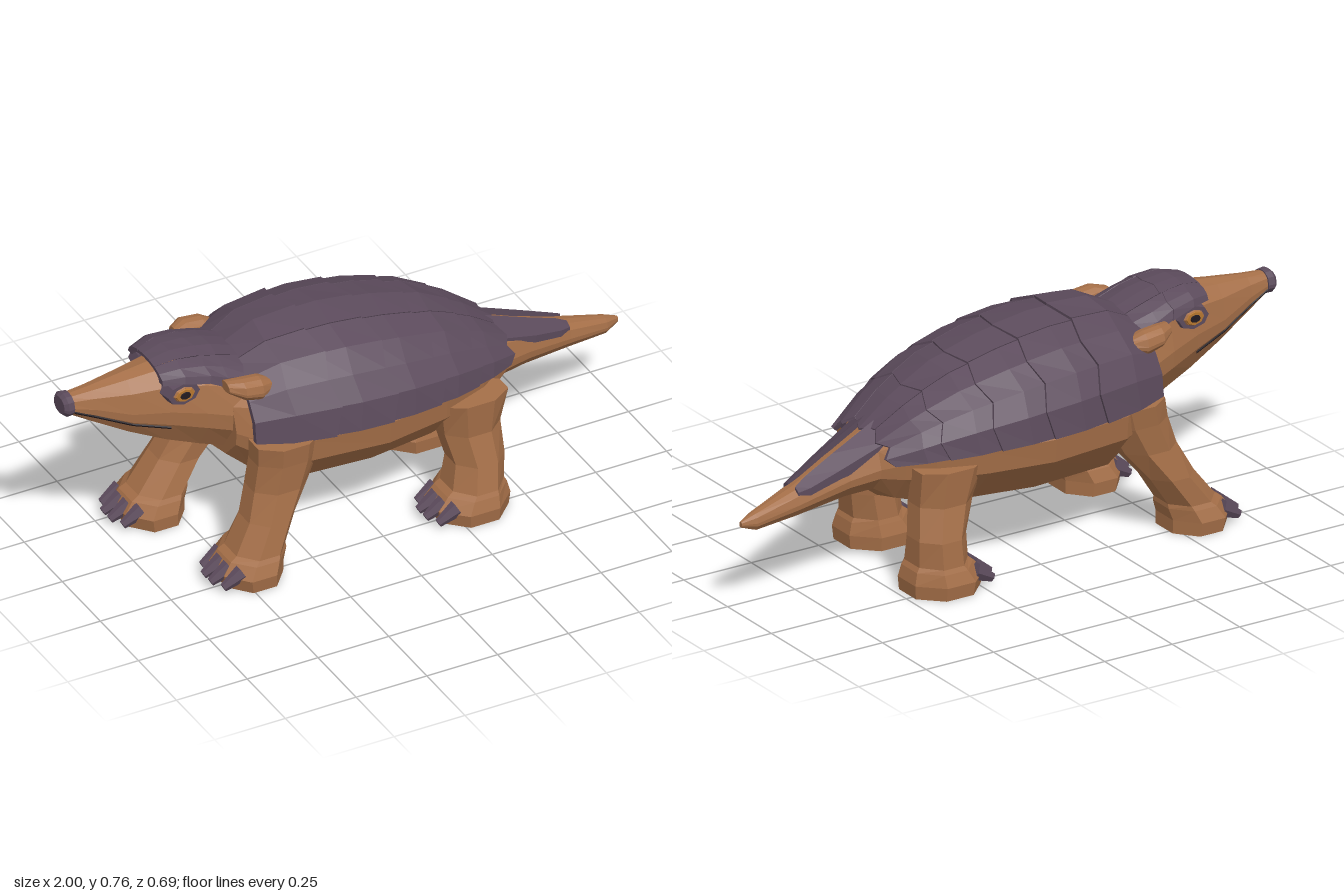
import * as THREE from 'three';

const mat = (name, color) => Object.assign(new THREE.MeshStandardMaterial({ color, flatShading: true }), { name });
const ZC = -0.02; // body centre line

// Flat-faced skin over equal rings (even point count), both ends closed
function loft(rings) {
  const n = rings[0].length, pos = [];
  const tri = (a, b, c) => pos.push(...a, ...b, ...c);
  for (let i = 0; i < rings.length - 1; i++) {
    const p = rings[i], q = rings[i + 1];
    for (let j = 0; j < n; j++) {
      const k = (j + 1) % n;
      tri(p[j], q[j], p[k]);
      tri(q[j], q[k], p[k]);
    }
  }
  const a = rings[0], b = rings[rings.length - 1];
  for (let j = 0; j < n / 2 - 1; j++) {
    const k = n - 1 - j;
    tri(a[j], a[j + 1], a[k - 1]);
    tri(a[j], a[k - 1], a[k]);
    tri(b[k - 1], b[j + 1], b[j]);
    tri(b[k], b[k - 1], b[j]);
  }
  const g = new THREE.BufferGeometry();
  g.setAttribute('position', new THREE.Float32BufferAttribute(pos, 3));
  g.computeVertexNormals();
  return g;
}

// Twelve-point trunk section
const SECTION = [[1, 0], [0.85, 0.6], [0.45, 0.92], [0, 1], [-0.45, 0.92], [-0.85, 0.6],
  [-1, 0], [-0.97, -0.32], [-0.6, -0.83], [0, -1], [0.6, -0.83], [0.97, -0.32]];
const trunk = (rows) => loft(rows.map(([x, zc, w, top, side, bot]) =>
  SECTION.map(([u, v]) => [x, side + v * (v > 0 ? top - side : side - bot), zc + u * w])));

// Linear lookup in rows of [x, ...values]
function sample(rows, x) {
  let i = 0;
  while (i < rows.length - 2 && x > rows[i + 1][0]) i++;
  const t = (x - rows[i][0]) / (rows[i + 1][0] - rows[i][0]);
  return rows[i].map((v, k) => v + (rows[i + 1][k] - v) * t);
}

// Point on an arched shell given by rows [x, halfWidth, base, top]
function arch(rows, x, a, scale) {
  const [, w, base, top] = sample(rows, x);
  return [x, base + (top - base) * Math.pow(Math.sin(a), 0.92) * scale, ZC + w * Math.cos(a) * scale];
}

// Curved plate with a lifted, scalloped rear edge
function plate(rows, x0, x1, a0, a1, steps, thick, jag) {
  const section = (t, scale) => {
    const outer = [], inner = [];
    for (let j = 0; j <= steps; j++) {
      const a = Math.min(Math.PI - 0.001, Math.max(0.001, a0 + (a1 - a0) * j / steps));
      const x = x0 + (x1 - x0) * t + (j % 2 ? jag * t : 0);
      outer.push(arch(rows, x, a, scale + (j % 2 ? 0.01 : 0)));
      inner.unshift(arch(rows, x, a, scale - thick));
    }
    return [...outer, ...inner];
  };
  return loft([section(0, 0.985), section(0.45, 1.012), section(1, 1.015)]);
}

export function createModel() {
  const root = new THREE.Group();
  root.name = 'armouredAnimal';
  const skin = mat('skinBrown', 0xa56f48);
  const armour = mat('armourPurple', 0x5c4b5c);
  const iris = mat('irisAmber', 0xb5762f);
  const dark = mat('darkLine', 0x211a20);
  const add = (name, geo, m, parent = root) => {
    const mesh = new THREE.Mesh(geo, m);
    mesh.name = name;
    parent.add(mesh);
    return mesh;
  };

  // Body running into the tail
  add('bodyAndTail', trunk([
    [-0.47, ZC, 0.18, 0.62, 0.48, 0.34], [-0.4, ZC, 0.25, 0.64, 0.465, 0.28],
    [-0.28, ZC, 0.3, 0.66, 0.46, 0.212], [0, ZC, 0.322, 0.66, 0.455, 0.207],
    [0.22, ZC, 0.285, 0.61, 0.45, 0.218], [0.38, ZC, 0.225, 0.55, 0.435, 0.235],
    [0.46, ZC, 0.17, 0.52, 0.42, 0.26], [0.52, ZC, 0.12, 0.495, 0.4, 0.305],
    [0.62, -0.03, 0.09, 0.45, 0.38, 0.303], [0.8, -0.055, 0.052, 0.38, 0.335, 0.285],
    [0.95, -0.07, 0.028, 0.335, 0.305, 0.275], [1, -0.075, 0.008, 0.315, 0.305, 0.295]]), skin);

  // Head and nose
  add('head', trunk([
    [-0.985, ZC, 0.035, 0.683, 0.65, 0.622], [-0.9, ZC, 0.05, 0.69, 0.63, 0.565],
    [-0.78, ZC, 0.08, 0.705, 0.59, 0.493], [-0.66, ZC, 0.112, 0.72, 0.58, 0.428],
    [-0.55, ZC, 0.145, 0.715, 0.56, 0.385], [-0.42, ZC, 0.17, 0.68, 0.52, 0.34]]), skin);
  add('nose', trunk([
    [-1, ZC, 0.036, 0.68, 0.65, 0.622], [-0.988, ZC, 0.047, 0.69, 0.65, 0.612],
    [-0.967, ZC, 0.044, 0.688, 0.65, 0.612]]), armour);

  // Shell: inner layer, then five bands of three plates
  const shell = [[-0.45, 0.255, 0.475, 0.69], [-0.36, 0.29, 0.47, 0.745], [-0.18, 0.322, 0.465, 0.757],
    [0, 0.326, 0.46, 0.738], [0.16, 0.308, 0.455, 0.7], [0.3, 0.272, 0.445, 0.655],
    [0.42, 0.22, 0.435, 0.58], [0.52, 0.165, 0.425, 0.505]];
  const under = [];
  for (let i = 0; i <= 8; i++) {
    const x = -0.42 + i * 0.1125, ring = [];
    for (let j = 0; j <= 11; j++) ring.push(arch(shell, x, j * Math.PI / 11, 0.96));
    under.push(ring);
  }
  add('innerShell', loft(under), armour);
  const strips = [[0, 1.225, 4], [1.235, Math.PI - 1.235, 2], [Math.PI - 1.225, Math.PI, 4]];
  const cuts = [-0.44, -0.2, 0, 0.18, 0.34, 0.495];
  for (let i = 0; i < 5; i++)
    for (const [a0, a1, n] of strips)
      add('shellPlate', plate(shell, cuts[i], cuts[i + 1] + 0.008, a0, a1, n, 0.07, 0.024), armour);

  // Head armour
  const crown = [[-0.7, 0.115, 0.69, 0.735], [-0.65, 0.135, 0.695, 0.752], [-0.57, 0.148, 0.685, 0.75],
    [-0.48, 0.155, 0.64, 0.73], [-0.4, 0.15, 0.63, 0.7]];
  for (const [x0, x1] of [[-0.695, -0.55], [-0.55, -0.41]])
    for (const [a0, a1] of [[0, 1.04], [1.05, 2.09], [2.1, Math.PI]])
      add('crownPlate', plate(crown, x0, x1, a0, a1, 3, 0.22, 0.01), armour);

  for (const s of [1, -1]) {
    // Eyes: rim, lid, iris, pupil stacked outward
    const eye = new THREE.Group();
    eye.name = s > 0 ? 'leftEye' : 'rightEye';
    eye.position.set(-0.63, 0.652, ZC + s * 0.108);
    eye.scale.set(1.45, 1, s);
    root.add(eye);
    [['eyeRim', 0.045, 0.05, 0, armour], ['eyeLid', 0.028, 0.008, 0.026, skin],
      ['iris', 0.025, 0.008, 0.03, iris], ['pupil', 0.014, 0.008, 0.034, dark]].forEach(([name, r, d, z, m]) => {
      const part = add(name, new THREE.CylinderGeometry(r * 0.85, r, d, 8).rotateX(Math.PI / 2), m, eye);
      part.position.z = z;
    });

    // Ears
    const ez = ZC + s * 0.19;
    add('ear', trunk([
      [-0.505, ez - s * 0.02, 0.03, 0.68, 0.66, 0.645], [-0.46, ez, 0.042, 0.688, 0.65, 0.62],
      [-0.4, ez, 0.042, 0.682, 0.64, 0.6], [-0.355, ez - s * 0.01, 0.03, 0.66, 0.64, 0.62]]), skin);

    // Mouth line
    add('mouthLine', loft([[-0.965, 0.633, 0.036], [-0.9, 0.604, 0.0465], [-0.78, 0.551, 0.0735], [-0.66, 0.519, 0.103]]
      .map(([x, y, z]) => [[1, 0], [0, 1], [-1, 0], [0, -1]].map(([u, v]) => [x, y + v * 0.006, ZC + s * z + u * 0.004]))), dark);

    // Long tail plates
    const rings = [[0.485, ZC, 0.025, 0.53, 0.105, 0.485], [0.65, -0.035, 0.023, 0.458, 0.077, 0.422],
      [0.76, -0.05, 0.018, 0.408, 0.056, 0.384], [0.8, -0.055, 0.022, 0.386, 0.043, 0.374]]
      .map(([x, zc, zi, yi, zo, yo]) => {
        const r = [[zo, yo], [zi, yi], [zi, yi - 0.035], [zo, yo - 0.035]].map(([z, y]) => [x, y, zc + s * z]);
        return s > 0 ? r : r.reverse();
      });
    add('tailPlate', loft(rings), armour);
  }

  // Legs: rows of [y, x, z, halfX, halfZ]; lean shifts the foot along x
  const front = [[0, -0.465, 0.222, 0.1, 0.117], [0.045, -0.47, 0.223, 0.105, 0.122], [0.085, -0.45, 0.222, 0.098, 0.108],
    [0.1, -0.44, 0.222, 0.086, 0.1], [0.2, -0.395, 0.217, 0.08, 0.088], [0.3, -0.355, 0.205, 0.095, 0.083],
    [0.4, -0.335, 0.215, 0.106, 0.08], [0.47, -0.335, 0.225, 0.11, 0.08]];
  const rear = [[0, 0.312, 0.222, 0.12, 0.117], [0.045, 0.31, 0.223, 0.126, 0.122], [0.085, 0.322, 0.222, 0.104, 0.11],
    [0.1, 0.328, 0.221, 0.09, 0.104], [0.185, 0.342, 0.212, 0.086, 0.09], [0.29, 0.328, 0.19, 0.098, 0.085],
    [0.41, 0.327, 0.213, 0.118, 0.072]];
  function leg(name, rows, s, lean) {
    const g = new THREE.Group();
    g.name = name;
    root.add(g);
    const top = rows[rows.length - 1][0];
    add('limb', loft(rows.map(([y, x, z, rx, rz]) => Array.from({ length: 8 }, (_, j) => {
      const a = (j + 0.5) * Math.PI / 4, t = 1 - y / top;
      const shift = y > 0.1 && s < 0 ? 0.015 : 0;
      return [x + lean * Math.min(1, t * 1.25) + rx * Math.cos(a) / 0.924, y, s * z - shift + rz * Math.sin(a) / 0.924];
    }))), skin, g);
    // Four blunt claws, the middle ones further forward
    const tip = rows[1][1] - rows[1][3] + lean;
    for (let i = 0; i < 4; i++) {
      const outer = i === 0 || i === 3;
      const claw = add('claw', new THREE.CylinderGeometry(0.012, 0.024, 0.075, 6), armour, g);
      claw.rotation.z = Math.PI / 2 + 0.5;
      claw.scale.x = 1.3;
      claw.position.set(tip + (outer ? 0.016 : -0.004), 0.042, s * (0.158 + i * 0.047));
    }
  }
  leg('leftFrontLeg', front, 1, 0);
  leg('rightFrontLeg', front, -1, -0.11);
  leg('leftRearLeg', rear, 1, 0);
  leg('rightRearLeg', rear, -1, 0.045);
  return root;
}
